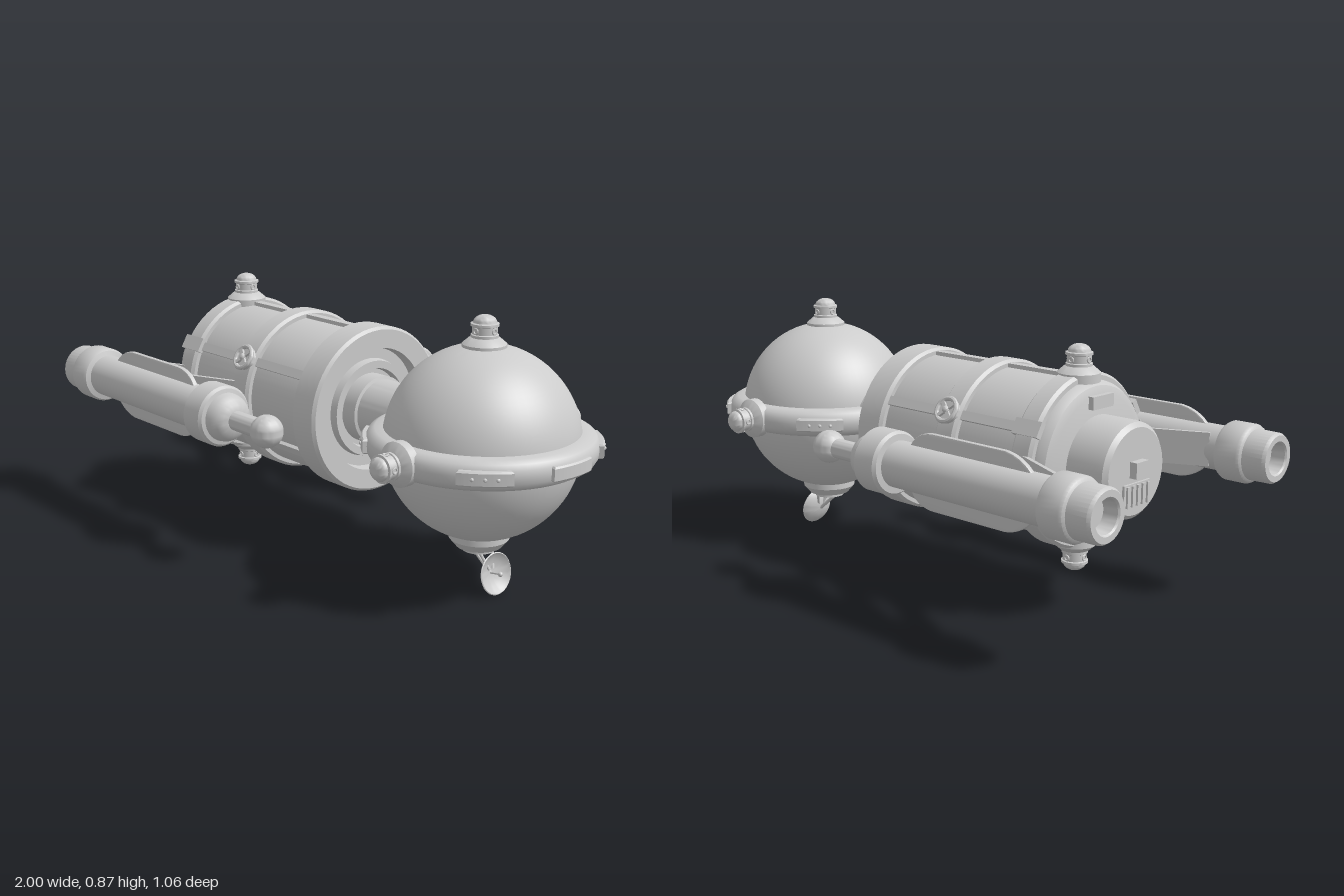
import * as THREE from 'three';
import { toCreasedNormals } from 'three/addons/utils/BufferGeometryUtils.js';

const grey = new THREE.MeshStandardMaterial({ color: 0xcccccc });
const greyDouble = new THREE.MeshStandardMaterial({ color: 0xcccccc, side: THREE.DoubleSide });
const AXIS = 0.48;

function add(parent, name, geometry, x = 0, y = 0, z = 0, material = grey) {
  const mesh = new THREE.Mesh(toCreasedNormals(geometry, 0.6), material);
  mesh.name = name;
  mesh.position.set(x, y, z);
  parent.add(mesh);
  return mesh;
}

function group(parent, name, x = 0, y = 0, z = 0) {
  const g = new THREE.Group();
  g.name = name;
  g.position.set(x, y, z);
  parent.add(g);
  return g;
}

const lathe = (pts, seg = 48) => new THREE.LatheGeometry(pts.map(([r, h]) => new THREE.Vector2(r, h)), seg);
// Profile of [radius, x] revolved about the x axis
const latheX = (pts, seg = 48) => lathe(pts, seg).rotateZ(-Math.PI / 2);

function rod(parent, name, a, b, r) {
  const curve = new THREE.LineCurve3(new THREE.Vector3(...a), new THREE.Vector3(...b));
  return add(parent, name, new THREE.TubeGeometry(curve, 1, r, 10));
}

// Domed beacon with a flared foot, a grooved collar and small ports
function stud(parent, name, x, y, z, rotX = 0) {
  const g = group(parent, name, x, y, z);
  g.rotation.x = rotX;
  const pts = [[0.068, -0.02], [0.068, 0.008], [0.047, 0.026], [0.042, 0.028], [0.042, 0.036],
    [0.038, 0.038], [0.038, 0.06], [0.043, 0.062], [0.043, 0.07], [0.036, 0.072]];
  for (let i = 1; i <= 6; i++) {
    const a = (i / 6) * Math.PI / 2;
    pts.push([Math.max(0.036 * Math.cos(a), 0), 0.072 + 0.024 * Math.sin(a)]);
  }
  add(g, 'beacon', lathe(pts, 32));
  for (let i = 0; i < 4; i++) {
    const a = i * Math.PI / 2;
    add(g, 'port', new THREE.TorusGeometry(0.008, 0.003, 6, 14).rotateY(Math.PI / 2 - a),
      0.039 * Math.cos(a), 0.049, -0.039 * Math.sin(a));
  }
}

// Curved pad lying on the equator ring
function arcPad(r0, r1, half, height) {
  const s = new THREE.Shape();
  s.absarc(0, 0, r1, -half, half, false);
  s.absarc(0, 0, r0, half, -half, true);
  return new THREE.ExtrudeGeometry(s, { depth: height, bevelSize: 0.005, bevelThickness: 0.005, bevelSegments: 1, curveSegments: 12 })
    .translate(0, 0, -height / 2).rotateX(-Math.PI / 2);
}

function buildCabin(root) {
  const g = group(root, 'cabin', 0.63, AXIS, 0);
  add(g, 'cabinSphere', new THREE.SphereGeometry(0.303, 64, 40));
  add(g, 'equatorRing', lathe([[0.29, -0.05], [0.325, -0.048], [0.343, -0.038], [0.352, -0.022], [0.354, 0],
    [0.352, 0.018], [0.343, 0.034], [0.325, 0.044], [0.29, 0.046]], 72));
  for (const k of [0, 1, 3, 5, 7]) {
    const pad = group(g, 'ringPad', 0, -0.002, 0);
    pad.rotation.y = k * Math.PI / 4;
    add(pad, 'pad', arcPad(0.33, 0.362, 0.21, 0.036));
    if (k) for (const a of [-0.1, 0, 0.1]) {
      add(pad, 'padRivet', new THREE.SphereGeometry(0.006, 8, 6), 0.367 * Math.cos(a), 0, 0.367 * Math.sin(a));
    }
  }
  stud(g, 'topBeacon', 0, 0.296, 0);
  stud(g, 'leftSideBeacon', 0, 0, 0.346, Math.PI / 2);
  stud(g, 'rightSideBeacon', 0, 0, -0.346, -Math.PI / 2);

  // Underside mount and dish
  add(g, 'dishMount', lathe([[0, -0.348], [0.052, -0.348], [0.052, -0.334], [0.072, -0.334], [0.094, -0.308], [0.094, -0.285]]));
  const dish = group(g, 'dish', 0.055, -0.412, 0);
  dish.rotation.z = 0.18;
  add(dish, 'dishBowl', latheX([[0, -0.006], [0.025, -0.003], [0.045, 0.004], [0.06, 0.014], [0.067, 0.022], [0.064, 0.024],
    [0.057, 0.017], [0.043, 0.008], [0.024, 0.001], [0, -0.002]], 40), 0, 0, 0, greyDouble);
  add(dish, 'dishFeed', new THREE.CylinderGeometry(0.003, 0.003, 0.04, 8).rotateZ(Math.PI / 2), 0.018, 0, 0);
  add(dish, 'feedTip', new THREE.SphereGeometry(0.008, 12, 8), 0.04, 0, 0);
  rod(g, 'dishBrace', [-0.04, -0.34, 0], [0.052, -0.412, 0], 0.006);
  for (const s of [-1, 1]) rod(g, 'dishStrut', [0.03, -0.34, 0.03 * s], [0.055, -0.4, 0.008 * s], 0.005);
}

function buildHull(root) {
  const g = group(root, 'hull', 0, AXIS, 0);
  // Barrel with a stepped recess around the neck
  add(g, 'barrel', latheX([[0, -0.63], [0.215, -0.63], [0.24, -0.62], [0.252, -0.6], [0.255, -0.58], [0.255, 0.08],
    [0.24, 0.155], [0.205, 0.155], [0.2, 0.115], [0.165, 0.115], [0.16, 0.14], [0.135, 0.14],
    [0.13, 0.115], [0.115, 0.115], [0.115, 0.175], [0.105, 0.178], [0.105, 0.36]], 64));
  for (const [x0, x1] of [[-0.59, -0.51], [-0.275, -0.19], [0.05, 0.163]]) {
    add(g, 'hoop', latheX([[0.24, x0], [0.268, x0], [0.277, x0 + 0.01], [0.277, x1 - 0.01], [0.268, x1], [0.235, x1]], 64));
  }
  // Lengthwise ribs, six around the barrel
  for (let i = 0; i < 6; i++) {
    const rib = group(g, 'rib');
    rib.rotation.x = i * Math.PI / 3;
    add(rib, 'ribBar', new THREE.BoxGeometry(0.64, 0.022, 0.03), -0.23, 0.256, 0);
    add(rib, 'ribFoot', new THREE.BoxGeometry(0.1, 0.02, 0.05), -0.55, 0.27, 0);
  }
  stud(g, 'upperBeacon', -0.55, 0.266, 0);
  stud(g, 'lowerBeacon', -0.55, -0.266, 0, Math.PI);

  // Hatch wheels on the middle hoop
  for (const s of [-1, 1]) {
    const arm = group(g, 'hatchWheel', -0.232, 0, 0);
    arm.rotation.x = s * Math.PI / 3;
    add(arm, 'wheelBase', new THREE.CylinderGeometry(0.036, 0.042, 0.03, 28), 0, 0.275, 0);
    add(arm, 'wheelRim', new THREE.TorusGeometry(0.038, 0.008, 8, 28).rotateX(Math.PI / 2), 0, 0.293, 0);
    for (const a of [0, Math.PI / 2]) {
      add(arm, 'wheelSpoke', new THREE.BoxGeometry(0.072, 0.01, 0.012).rotateY(a + Math.PI / 4), 0, 0.294, 0);
    }
    add(arm, 'wheelHub', new THREE.SphereGeometry(0.012, 14, 10), 0, 0.296, 0);
  }

  // Rear machinery drum, grille and latches
  add(g, 'rearDrum', latheX([[0, -0.775], [0.135, -0.775], [0.149, -0.762], [0.152, -0.74], [0.152, -0.62]]));
  add(g, 'rearLatch', new THREE.BoxGeometry(0.03, 0.05, 0.06), -0.785, 0.01, 0);
  add(g, 'grilleFrame', new THREE.BoxGeometry(0.012, 0.075, 0.13), -0.777, -0.07, 0);
  for (let i = -2; i <= 2; i++) add(g, 'grilleBar', new THREE.BoxGeometry(0.012, 0.065, 0.012), -0.784, -0.07, i * 0.025);
  for (const s of [-1, 1]) add(g, 'hullLatch', new THREE.BoxGeometry(0.03, 0.04, 0.1), -0.633, s * 0.195, 0);
}

function buildPod(root, side) {
  const g = group(root, side > 0 ? 'leftPod' : 'rightPod', 0, AXIS, side * 0.43);
  add(g, 'podBody', latheX([[0, -0.95], [0.045, -0.95], [0.05, -0.995], [0.055, -1], [0.074, -1], [0.081, -0.99], [0.082, -0.92],
    [0.091, -0.915], [0.096, -0.905], [0.096, -0.835], [0.09, -0.825], [0.073, -0.82], [0.073, -0.2],
    [0.093, -0.198], [0.101, -0.188], [0.101, -0.108], [0.093, -0.098], [0.08, -0.095],
    [0.077, -0.075], [0.066, -0.053], [0.05, -0.04], [0.032, -0.036], [0.032, 0.09], [0, 0.1]], 40));
  add(g, 'podBall', new THREE.SphereGeometry(0.053, 32, 20), 0.121, 0, 0);

  // Thin rounded fin through the tube
  const s = new THREE.Shape();
  s.moveTo(-0.76, 0);
  s.bezierCurveTo(-0.76, 0.07, -0.7, 0.108, -0.64, 0.115);
  s.lineTo(-0.35, 0.115);
  s.bezierCurveTo(-0.28, 0.11, -0.25, 0.07, -0.25, 0);
  s.bezierCurveTo(-0.25, -0.07, -0.28, -0.11, -0.35, -0.115);
  s.lineTo(-0.64, -0.115);
  s.bezierCurveTo(-0.7, -0.108, -0.76, -0.07, -0.76, 0);
  add(g, 'podFin', new THREE.ExtrudeGeometry(s, { depth: 0.008, bevelSize: 0.005, bevelThickness: 0.005, bevelSegments: 2 })
    .translate(0, 0, -0.004));

  // Swept flat struts to the hull
  for (const [x0, x1] of [[-0.79, -0.54], [-0.52, -0.24]]) {
    const z0 = -0.06 * side, z1 = -0.175 * side;
    const strut = add(g, 'podStrut', new THREE.BoxGeometry(Math.hypot(x1 - x0, z1 - z0), 0.11, 0.013), (x0 + x1) / 2, 0.005, (z0 + z1) / 2);
    strut.rotation.y = -Math.atan2(z1 - z0, x1 - x0);
  }
}

export function createModel() {
  const root = new THREE.Group();
  root.name = 'spacecraft';
  buildCabin(root);
  buildHull(root);
  for (const side of [1, -1]) buildPod(root, side);
  return root;
}
